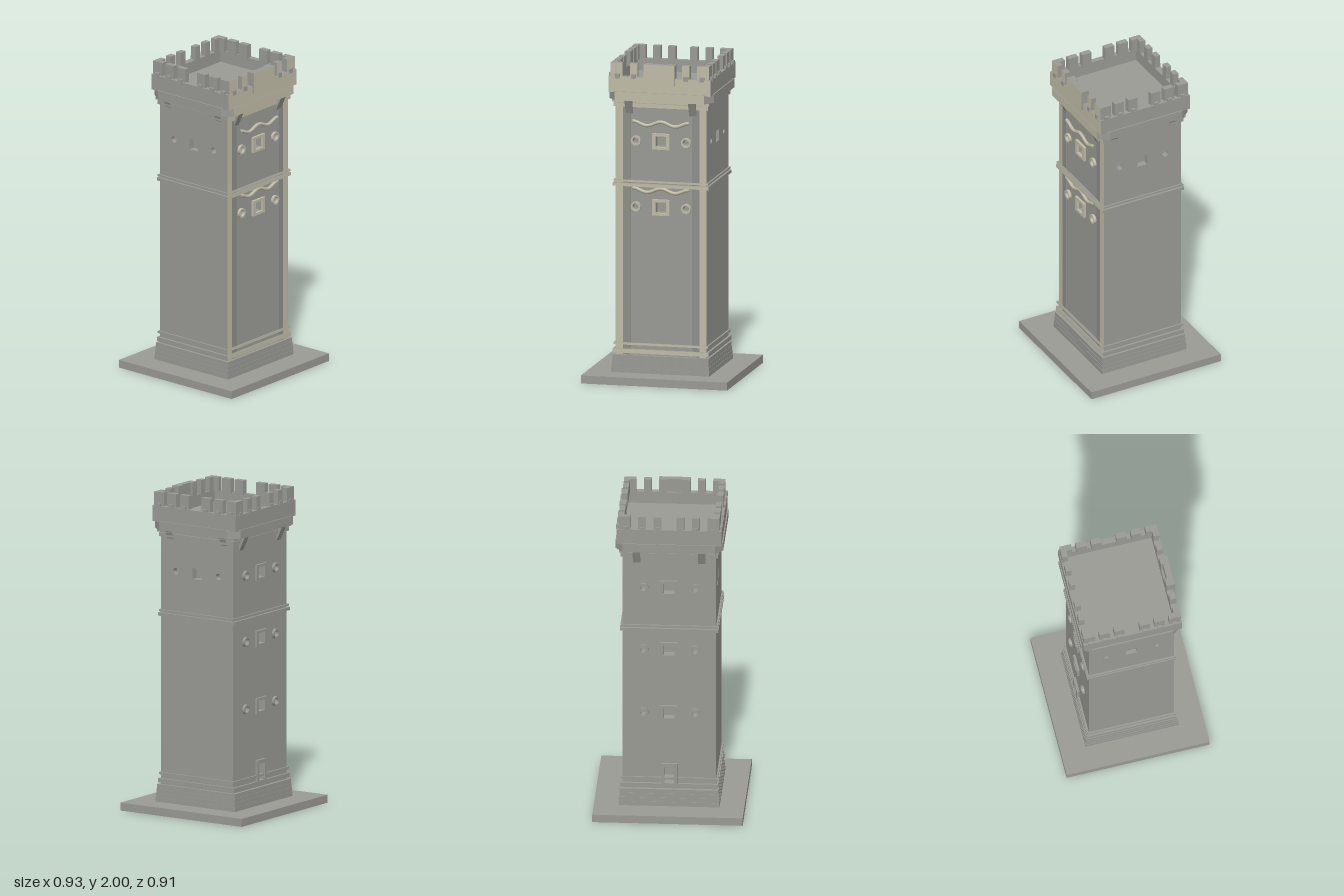
import * as THREE from 'three';

const mat = (name, color) => {
  const m = new THREE.MeshStandardMaterial({ color });
  m.name = name;
  return m;
};

export function createModel() {
  const tower = new THREE.Group();
  tower.name = 'tower';
  const stone = mat('grey stone', 0x999a94);
  const cream = mat('cream stone', 0xbfbba6);
  const shade = mat('deep grey stone', 0x8d8e89);

  // Box from its limits; an optional second material covers the +z face only
  function box(name, x0, x1, y0, y1, z0, z1, front = stone, parent = tower) {
    const g = new THREE.BoxGeometry(x1 - x0, y1 - y0, z1 - z0);
    const mats = front === stone ? stone : [stone, stone, stone, stone, front, stone];
    const m = new THREE.Mesh(g, mats);
    m.position.set((x0 + x1) / 2, (y0 + y1) / 2, (z0 + z1) / 2);
    m.name = name;
    parent.add(m);
    return m;
  }
  const tier = (name, x, z, y0, y1, front) => box(name, -x, x, y0, y1, -z, z, front);

  function rectPath(path, x0, x1, y0, y1) {
    path.moveTo(x0, y0);
    path.lineTo(x1, y0);
    path.lineTo(x1, y1);
    path.lineTo(x0, y1);
    path.closePath();
    return path;
  }
  const rect = (...a) => rectPath(new THREE.Shape(), ...a);
  const rectHole = (...a) => rectPath(new THREE.Path(), ...a);
  const roundHole = (x, y, r) => new THREE.Path().absarc(x, y, r, 0, Math.PI * 2, true);

  // Extruded plate whose outer face lies at z1
  function plate(name, shape, z0, z1, material, parent) {
    const g = new THREE.ExtrudeGeometry(shape, { depth: z1 - z0, bevelEnabled: false, curveSegments: 12 });
    const m = new THREE.Mesh(g, material);
    m.position.z = z0;
    m.name = name;
    parent.add(m);
  }

  // Base slab and coursed plinth
  tier('baseSlab', 0.465, 0.455, 0, 0.05);
  for (let i = 0; i < 4; i++) {
    tier('plinthCourse', 0.312 - i * 0.002, 0.297 - i * 0.002, 0.05 + i * 0.0275, 0.0775 + i * 0.0275);
  }
  tier('towerCore', 0.25, 0.23, 0.16, 1.77);

  // Pierced walls with window surrounds
  const rows = [1.51, 1.095, 0.67];
  function wall(name, angle, halfWidth, dist, rowCount, trim, door) {
    const side = new THREE.Group();
    side.name = name;
    side.rotation.y = angle;
    tower.add(side);
    const s = rect(-halfWidth, halfWidth, 0.16, 1.77);
    for (const y of rows.slice(0, rowCount)) {
      s.holes.push(rectHole(-0.034, 0.034, y - 0.034, y + 0.034));
      for (const x of [-0.16, 0.16]) s.holes.push(roundHole(x, y, 0.02));
      if (!trim) continue;
      const frame = rect(-0.055, 0.055, y - 0.05, y + 0.05);
      frame.holes.push(rectHole(-0.034, 0.034, y - 0.034, y + 0.034));
      plate('squareWindowFrame', frame, dist, dist + 0.016, trim, side);
      for (const x of [-0.16, 0.16]) {
        const ring = new THREE.Shape().absarc(x, y, 0.031, 0, Math.PI * 2, false);
        ring.holes.push(roundHole(x, y, 0.02));
        plate('roundWindowRing', ring, dist, dist + 0.016, trim, side);
      }
    }
    if (door) {
      s.holes.push(rectHole(-0.03, 0.03, 0.2, 0.305));
      const frame = rect(-0.05, 0.05, 0.195, 0.33);
      frame.holes.push(rectHole(-0.03, 0.03, 0.2, 0.305));
      plate('doorFrame', frame, dist, dist + 0.016, trim, side);
    }
    plate('wallPanel', s, dist - 0.04, dist, stone, side);
  }
  wall('frontWall', 0, 0.25, 0.27, 2, cream, false);
  wall('backWall', Math.PI, 0.25, 0.27, 3, stone, true);
  wall('leftWall', Math.PI / 2, 0.27, 0.29, 1, null, false);
  wall('rightWall', -Math.PI / 2, 0.27, 0.29, 1, null, false);

  // Painted vertical strips at the front corners
  for (const s of [-1, 1]) {
    const strip = (name, a, b, m) =>
      box(name, Math.min(s * a, s * b), Math.max(s * a, s * b), 0.16, 1.76, 0.268, 0.272, m);
    strip('cornerStrip', 0.243, 0.29, cream);
    strip('innerStrip', 0.197, 0.243, shade);
  }

  // String courses
  for (const [x, z, y0, y1] of [
    [0.305, 0.285, 0.17, 0.197], [0.301, 0.281, 0.222, 0.236],
    [0.305, 0.285, 1.22, 1.24], [0.301, 0.281, 1.248, 1.26],
    [0.301, 0.281, 1.72, 1.745], [0.31, 0.29, 1.75, 1.766],
  ]) tier('stringCourse', x, z, y0, y1, cream);

  // Wavy mouldings over the front windows
  for (const y of [1.62, 1.2]) {
    const pts = [];
    for (let i = 0; i <= 16; i++) {
      const x = -0.18 + i * 0.0225;
      pts.push(new THREE.Vector3(x, y + 0.013 * Math.cos((x / 0.18) * Math.PI * 2), 0.278));
    }
    const g = new THREE.TubeGeometry(new THREE.CatmullRomCurve3(pts), 40, 0.011, 8);
    const m = new THREE.Mesh(g, cream);
    m.name = 'wavyMoulding';
    tower.add(m);
  }

  // Wedge brackets under the parapet
  function bracket(x, angle, dist, drop, reach) {
    const s = new THREE.Shape([
      new THREE.Vector2(-0.01, 1.766), new THREE.Vector2(-0.01, 1.766 - drop),
      new THREE.Vector2(0, 1.766 - drop), new THREE.Vector2(reach, 1.766),
    ]);
    const g = new THREE.ExtrudeGeometry(s, { depth: 0.046, bevelEnabled: false });
    g.translate(dist, 0, -0.023 - x);
    g.rotateY(angle - Math.PI / 2);
    const m = new THREE.Mesh(g, stone);
    m.name = 'bracket';
    tower.add(m);
  }
  for (const x of [-0.202, 0.202]) {
    for (const a of [0, Math.PI]) bracket(x, a, 0.27, 0.09, 0.042);
    for (const a of [Math.PI / 2, -Math.PI / 2]) bracket(x, a, 0.29, 0.055, 0.025);
  }

  // Chamfered band carrying the parapet
  const oct = [[0.285, 0.32], [0.333, 0.257], [0.333, -0.257], [0.285, -0.32],
    [-0.285, -0.32], [-0.333, -0.257], [-0.333, 0.257], [-0.285, 0.32]];
  const bandGeo = new THREE.ExtrudeGeometry(
    new THREE.Shape(oct.map(p => new THREE.Vector2(...p))), { depth: 0.055, bevelEnabled: false });
  bandGeo.rotateX(-Math.PI / 2);
  const band = new THREE.Mesh(bandGeo, stone);
  band.position.y = 1.766;
  band.name = 'parapetBand';
  tower.add(band);
  box('bandFace', -0.285, 0.285, 1.766, 1.821, 0.318, 0.322, cream);

  // Roof deck and parapet walls
  tier('roofDeck', 0.3, 0.28, 1.81, 1.84);
  box('frontParapet', -0.325, 0.325, 1.815, 1.915, 0.272, 0.313, cream);
  box('backParapet', -0.325, 0.325, 1.815, 1.915, -0.313, -0.272);
  for (const s of [-1, 1]) {
    const m = box('sideParapet', 0.29, 0.325, 1.815, 1.915, -0.272, 0.272);
    m.position.x *= s;
  }

  // Merlons with small blocks at their feet
  const Y0 = 1.91, Y1 = 2;
  for (const s of [-1, 1]) {
    const span = (name, a, b, y0, y1, z0, z1, m) =>
      box(name, Math.min(s * a, s * b), Math.max(s * a, s * b), y0, y1, z0, z1, m);
    // front and back rows
    for (const [a, b] of [[0.238, 0.313], [0.143, 0.19]]) {
      const c = (a + b) / 2 - (a > 0.2 ? 0.006 : 0);
      span('frontMerlon', a, b, Y0, Y1, 0.272, 0.308, cream);
      span('frontMerlonBlock', c - 0.015, c + 0.015, 1.903, 1.932, 0.3, 0.316);
      span('backMerlon', a, b, Y0, Y1, -0.308, -0.272);
      span('backMerlonBlock', c - 0.015, c + 0.015, 1.903, 1.932, -0.316, -0.3);
    }
    span('backMerlon', 0.047, 0.094, Y0, Y1, -0.308, -0.272);
    span('backMerlonBlock', 0.055, 0.085, 1.903, 1.932, -0.316, -0.3);
    // side rows
    for (const t of [-1, 1]) {
      for (const [a, b] of [[0.235, 0.272], [0.142, 0.207], [0.048, 0.112]]) {
        const c = a > 0.2 ? 0.268 : (a + b) / 2;
        const za = Math.min(t * a, t * b), zb = Math.max(t * a, t * b);
        span('sideMerlon', 0.277, 0.313, Y0, Y1, za, zb);
        span('sideMerlonBlock', 0.305, 0.328, 1.903, 1.932, t * c - 0.015, t * c + 0.015);
      }
    }
    // inner cheeks of the central front panel
    span('centrePanelCheek', 0.049, 0.098, Y0, Y1, 0.272, 0.286);
  }
  box('centrePanel', -0.098, 0.098, 1.87, Y1, 0.285, 0.324, cream);

  return tower;
}
